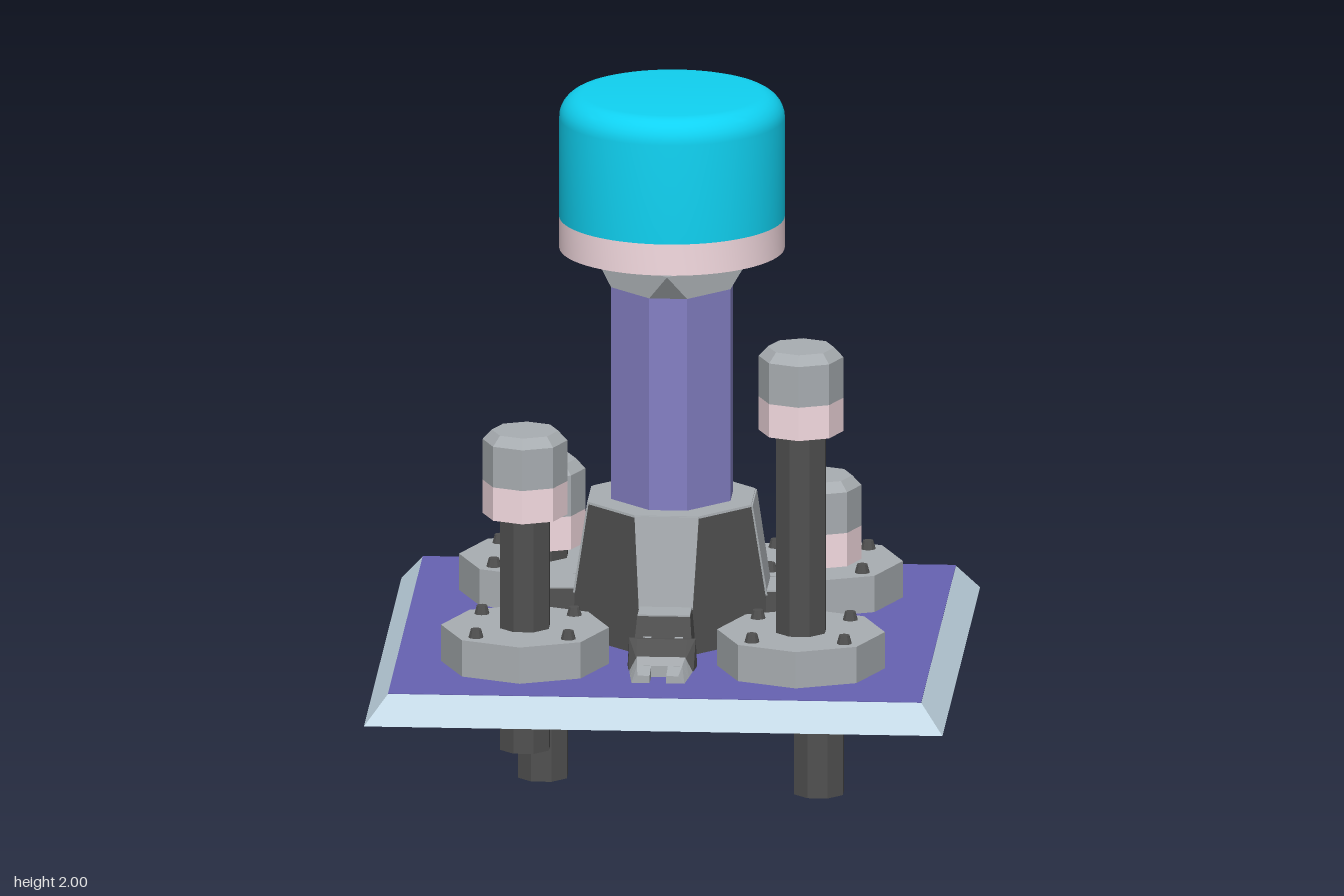
import * as THREE from 'three';
import { ConvexGeometry } from 'three/addons/geometries/ConvexGeometry.js';
import { toCreasedNormals } from 'three/addons/utils/BufferGeometryUtils.js';

const mat = (color, flatShading = true) => new THREE.MeshStandardMaterial({ color, flatShading });
const grey = mat(0xa9aeb2);
const dark = mat(0x505050);
const pink = mat(0xf6dce2);
const violet = mat(0x8480c4);
const deck = mat(0x6762b2);
const paleBlue = mat(0xc4d9e6);
const pinkSmooth = mat(0xf6dce2, false);
const cyan = mat(0x10d2f2, false);

function add(parent, name, geometry, material, x = 0, y = 0, z = 0) {
  const mesh = new THREE.Mesh(geometry, material);
  mesh.name = name;
  mesh.position.set(x, y, z);
  parent.add(mesh);
  return mesh;
}

// Convex solid around a list of [x, y, z] corners
const hull = (pts) => new ConvexGeometry(pts.map((p) => new THREE.Vector3(...p)));

// Square ring, and square ring with cut corners (face half-width c)
const square = (h, y) => [[h, y, h], [-h, y, h], [-h, y, -h], [h, y, -h]];
const cutSquare = (h, c, y) => [-1, 1].flatMap((a) => [-1, 1].flatMap((b) => [
  [a * h, y, b * c], [a * c, y, b * h],
]));
const diamond = (r, y) => [[r, y, 0], [-r, y, 0], [0, y, r], [0, y, -r]];

// Octagonal cylinder standing from y0 to y1
function octagon(parent, name, rBottom, rTop, y0, y1, material) {
  return add(parent, name, new THREE.CylinderGeometry(rTop, rBottom, y1 - y0, 8), material, 0, (y0 + y1) / 2, 0);
}

// Sliding post with a capped head and a bolted flange; top is the head height
function makePost(x, z, top) {
  const g = new THREE.Group();
  g.name = 'post';
  g.position.set(x, 0, z);
  octagon(g, 'flange', 0.222, 0.222, 0.53, 0.635, grey);
  for (const sx of [-1, 1]) for (const sz of [-1, 1]) {
    add(g, 'bolt', new THREE.CylinderGeometry(0.014, 0.021, 0.025, 10), dark, sx * 0.122, 0.645, sz * 0.122);
  }
  octagon(g, 'rod', 0.07, 0.07, top - 0.867, top - 0.2, dark).rotation.y = Math.PI / 8;
  octagon(g, 'headBand', 0.112, 0.112, top - 0.228, top - 0.137, pink);
  octagon(g, 'head', 0.112, 0.112, top - 0.137, top - 0.026, grey);
  octagon(g, 'headChamfer', 0.112, 0.088, top - 0.026, top, grey);
  return g;
}

// Sloped panel and foot block on one side of the pedestal, facing +z
function makeBracket() {
  const g = new THREE.Group();
  g.name = 'bracket';
  const both = (x, y, z) => [[x, y, z], [-x, y, z]];
  add(g, 'panel', hull([
    ...both(0.085, 0.9, 0.2), ...both(0.085, 0.9, 0.219),
    ...both(0.068, 0.6, 0.2), ...both(0.068, 0.6, 0.265),
  ]), grey);
  add(g, 'foot', hull([
    ...both(0.07, 0.66, 0.22), ...both(0.07, 0.66, 0.338),
    ...both(0.08, 0.535, 0.22), ...both(0.08, 0.55, 0.383), ...both(0.08, 0.535, 0.383),
  ]), dark);
  add(g, 'footTop', new THREE.BoxGeometry(0.138, 0.006, 0.09), grey, 0, 0.661, 0.293);
  return g;
}

// Forked catch in front of the pedestal
function makeCatch() {
  const g = new THREE.Group();
  g.name = 'forkedCatch';
  const both = (x, y, z) => [[x, y, z], [-x, y, z]];
  add(g, 'catchBack', hull([
    ...both(0.088, 0.615, 0.39), ...both(0.092, 0.54, 0.39),
    ...both(0.066, 0.615, 0.402), ...both(0.066, 0.575, 0.447), ...both(0.086, 0.54, 0.447),
  ]), dark);
  add(g, 'catchBridge', hull([
    ...both(0.064, 0.578, 0.445), ...both(0.084, 0.54, 0.445),
    ...both(0.06, 0.57, 0.507), ...both(0.078, 0.54, 0.507),
  ]), grey);
  for (const s of [-1, 1]) {
    add(g, 'prong', hull([
      [s * 0.022, 0.57, 0.505], [s * 0.06, 0.57, 0.505], [s * 0.022, 0.54, 0.505], [s * 0.078, 0.54, 0.505],
      [s * 0.022, 0.56, 0.573], [s * 0.054, 0.56, 0.573], [s * 0.022, 0.54, 0.573], [s * 0.07, 0.54, 0.573],
    ]), grey);
    add(g, 'hinge', new THREE.BoxGeometry(0.022, 0.05, 0.065), grey, s * 0.042, 0.585, 0.375);
  }
  add(g, 'hingePin', new THREE.CylinderGeometry(0.012, 0.012, 0.11, 8), dark, 0, 0.59, 0.383).rotation.z = Math.PI / 2;
  return g;
}

export function createModel() {
  const model = new THREE.Group();
  model.name = 'pistonPlatform';

  // Bevelled plate
  add(model, 'plate', hull([...square(0.765, 0.46), ...square(0.705, 0.534)]), paleBlue);
  add(model, 'plateTop', new THREE.BoxGeometry(1.41, 0.004, 1.41), deck, 0, 0.534, 0);

  // Four posts at different heights
  for (const [x, z, top] of [[0.365, 0.365, 1.41], [-0.365, 0.365, 1.17], [-0.365, -0.365, 0.9], [0.365, -0.365, 0.867]]) {
    model.add(makePost(x, z, top));
  }

  // Pedestal with a bracket on each side
  add(model, 'pedestal', hull([...cutSquare(0.27, 0.066, 0.53), ...cutSquare(0.215, 0.085, 0.897)]), dark);
  add(model, 'pedestalTop', hull([...cutSquare(0.216, 0.086, 0.896), ...cutSquare(0.215, 0.085, 0.902)]), grey);
  for (let i = 0; i < 4; i++) {
    const bracket = makeBracket();
    bracket.rotation.y = i * Math.PI / 2;
    model.add(bracket);
  }
  model.add(makeCatch());

  // Column and the collar that turns into a diamond
  add(model, 'column', hull([...cutSquare(0.158, 0.05, 0.89), ...cutSquare(0.158, 0.05, 1.48)]), violet);
  add(model, 'collar', hull([...cutSquare(0.158, 0.05, 1.48), ...diamond(0.203, 1.55), ...diamond(0.19, 1.57)]), grey);
  octagon(model, 'stem', 0.06, 0.06, 1.56, 1.64, dark);

  // Round button: hollow rim, dark underside, rounded cap
  const rim = [[0.275, 1.65], [0.275, 1.58], [0.298, 1.58], [0.298, 1.665]].map((p) => new THREE.Vector2(...p));
  add(model, 'buttonRim', toCreasedNormals(new THREE.LatheGeometry(rim, 64), 0.5), pinkSmooth);
  add(model, 'buttonUnderside', new THREE.CylinderGeometry(0.28, 0.28, 0.03, 64), dark, 0, 1.645, 0);
  const profile = [new THREE.Vector2(0.298, 1.665)];
  for (let i = 0; i <= 8; i++) {
    const a = (i / 8) * Math.PI / 2;
    profile.push(new THREE.Vector2(0.233 + 0.065 * Math.cos(a), 1.935 + 0.065 * Math.sin(a)));
  }
  profile.push(new THREE.Vector2(0, 2));
  add(model, 'buttonCap', toCreasedNormals(new THREE.LatheGeometry(profile, 64), 0.5), cyan);

  return model;
}
